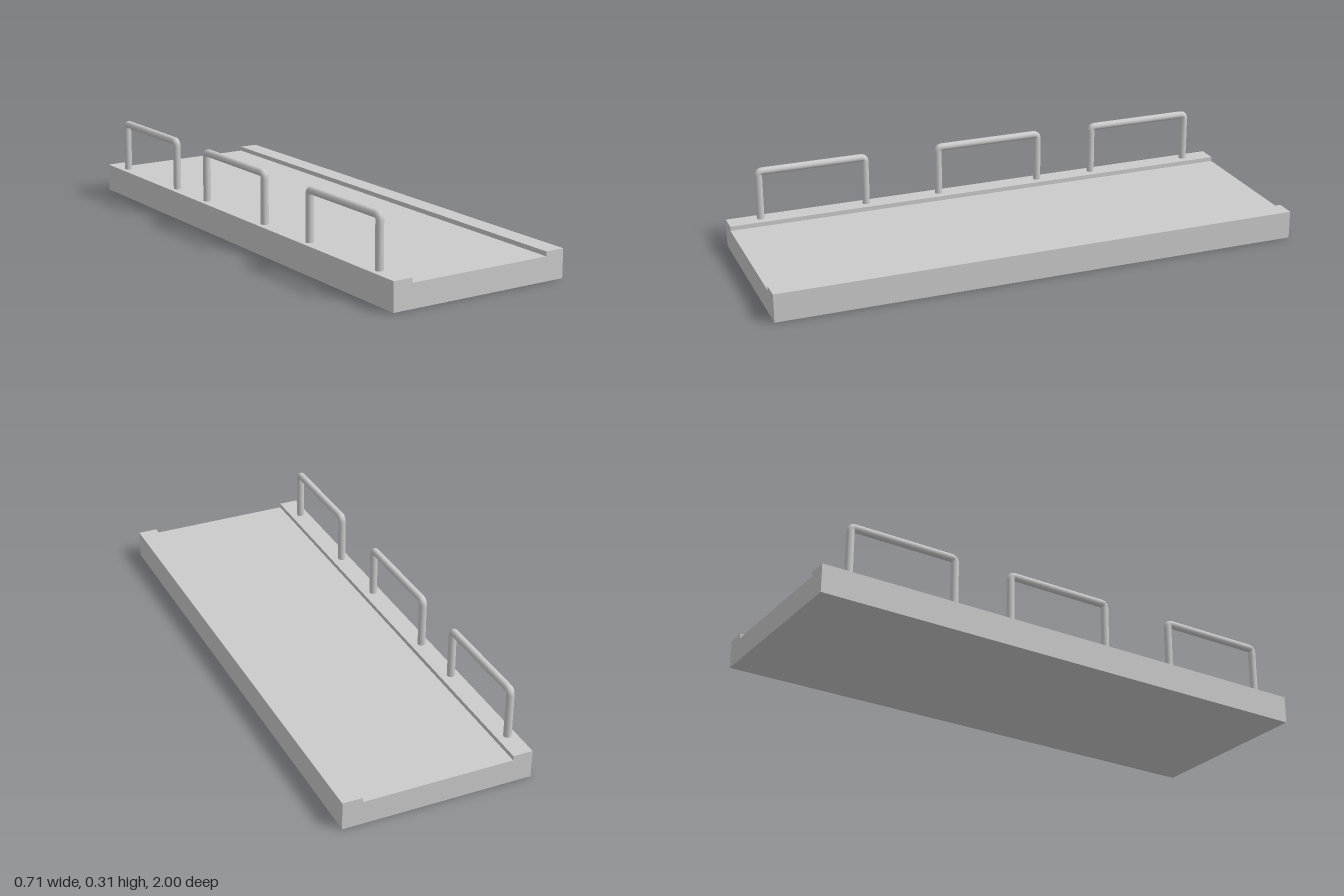
import * as THREE from 'three';

const HALF_W = 0.354, CURB_X = 0.28, CURB_Y = 0.1055, DECK_Y = 0.0885;
const RAIL_X = -0.321, RAIL_R = 0.0145, RAIL_TOP = 0.306, RAIL_HALF = 0.206;

// Path of one railing hoop: up, across and down, with tight bends
function hoopPath() {
  const bend = 0.016, top = RAIL_TOP - RAIL_R;
  const p = (y, z) => new THREE.Vector3(0, y, z);
  const path = new THREE.CurvePath();
  path.add(new THREE.LineCurve3(p(CURB_Y, RAIL_HALF), p(top - bend, RAIL_HALF)));
  path.add(new THREE.QuadraticBezierCurve3(
    p(top - bend, RAIL_HALF), p(top, RAIL_HALF), p(top, RAIL_HALF - bend)));
  path.add(new THREE.LineCurve3(p(top, RAIL_HALF - bend), p(top, bend - RAIL_HALF)));
  path.add(new THREE.QuadraticBezierCurve3(
    p(top, bend - RAIL_HALF), p(top, -RAIL_HALF), p(top - bend, -RAIL_HALF)));
  path.add(new THREE.LineCurve3(p(top - bend, -RAIL_HALF), p(CURB_Y, -RAIL_HALF)));
  return path;
}

export function createModel() {
  const group = new THREE.Group();
  const grey = new THREE.MeshStandardMaterial({ color: 0xcccccc });
  const railGrey = new THREE.MeshStandardMaterial({ color: 0xcccccc, side: THREE.DoubleSide });

  // Deck slab with a raised curb along each long edge
  const section = new THREE.Shape([
    [-HALF_W, 0], [HALF_W, 0], [HALF_W, CURB_Y], [CURB_X, CURB_Y],
    [CURB_X, DECK_Y], [-CURB_X, DECK_Y], [-CURB_X, CURB_Y], [-HALF_W, CURB_Y],
  ].map(([x, y]) => new THREE.Vector2(x, y)));
  const slab = new THREE.ExtrudeGeometry(section, { depth: 2, bevelEnabled: false });
  slab.translate(0, 0, -1);
  const deck = new THREE.Mesh(slab, grey);
  deck.name = 'deckWithCurbs';
  group.add(deck);

  // Three railing hoops on the right curb
  const hoop = new THREE.TubeGeometry(hoopPath(), 120, RAIL_R, 12, false);
  [0.669, -0.036, -0.68].forEach((z, i) => {
    const rail = new THREE.Mesh(hoop, railGrey);
    rail.name = `railing${i + 1}`;
    rail.position.set(RAIL_X, 0, z);
    group.add(rail);
  });

  return group;
}
